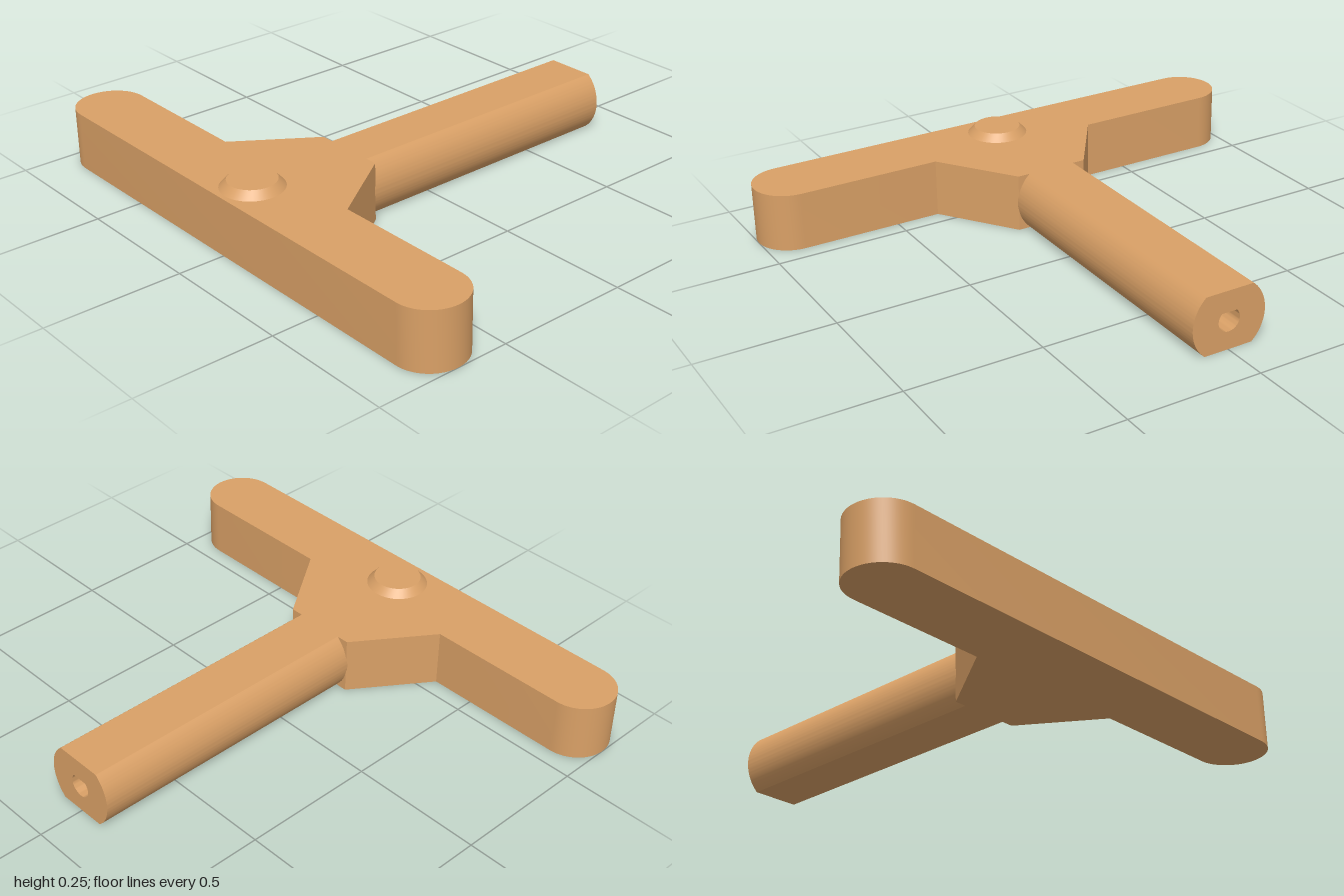
import * as THREE from 'three';
import { toCreasedNormals } from 'three/addons/utils/BufferGeometryUtils.js';

const H = 0.217;          // thickness of handle and shaft
const BACK = -0.827;      // rear end of the shaft
const BAR_Z = 0.695;      // centre line of the crossbar
const BAR_R = 0.13;       // radius of the crossbar ends

export function createModel() {
  const group = new THREE.Group();
  const wood = new THREE.MeshStandardMaterial({ color: 0xd9a066 });
  wood.name = 'tan';

  const add = (name, geometry) => {
    const mesh = new THREE.Mesh(toCreasedNormals(geometry, 0.5), wood);
    mesh.name = name;
    group.add(mesh);
    return mesh;
  };

  // Crossbar with rounded ends and a tapered neck, drawn with y = -z
  const bar = new THREE.Shape();
  const c = 1 - BAR_R;
  bar.moveTo(-c, -BAR_Z - BAR_R);
  bar.lineTo(c, -BAR_Z - BAR_R);
  bar.absarc(c, -BAR_Z, BAR_R, -Math.PI / 2, Math.PI / 2, false);
  bar.lineTo(0.335, -BAR_Z + BAR_R);
  bar.lineTo(0.14, -0.283);
  bar.lineTo(-0.14, -0.283);
  bar.lineTo(-0.335, -BAR_Z + BAR_R);
  bar.absarc(-c, -BAR_Z, BAR_R, Math.PI / 2, Math.PI * 1.5, false);
  const barGeometry = new THREE.ExtrudeGeometry(bar, { depth: H, bevelEnabled: false, curveSegments: 16 });
  barGeometry.rotateX(-Math.PI / 2);
  add('crossbar', barGeometry);

  // Round shaft flattened above and below, with a teardrop bore
  const R = 0.143;
  const a = Math.asin(H / 2 / R);
  const section = new THREE.Shape();
  section.absarc(0, 0, R, -a, a, false);
  section.absarc(0, 0, R, Math.PI - a, Math.PI + a, false);
  section.closePath();
  const bore = new THREE.Path();
  const r = 0.042;
  bore.moveTo(0, r * Math.SQRT2);
  bore.absarc(0, 0, r, Math.PI * 0.75, Math.PI * 2.25, false);
  bore.closePath();
  section.holes.push(bore);
  const shaft = add('shaft', new THREE.ExtrudeGeometry(section, {
    depth: 0.29 - BACK, bevelEnabled: false, curveSegments: 20,
  }));
  shaft.position.set(0, H / 2, BACK);

  // Low chamfered button on top of the crossbar
  const button = add('button', new THREE.CylinderGeometry(0.087, 0.113, 0.028, 40));
  button.position.set(0, H + 0.014, BAR_Z);

  return group;
}
